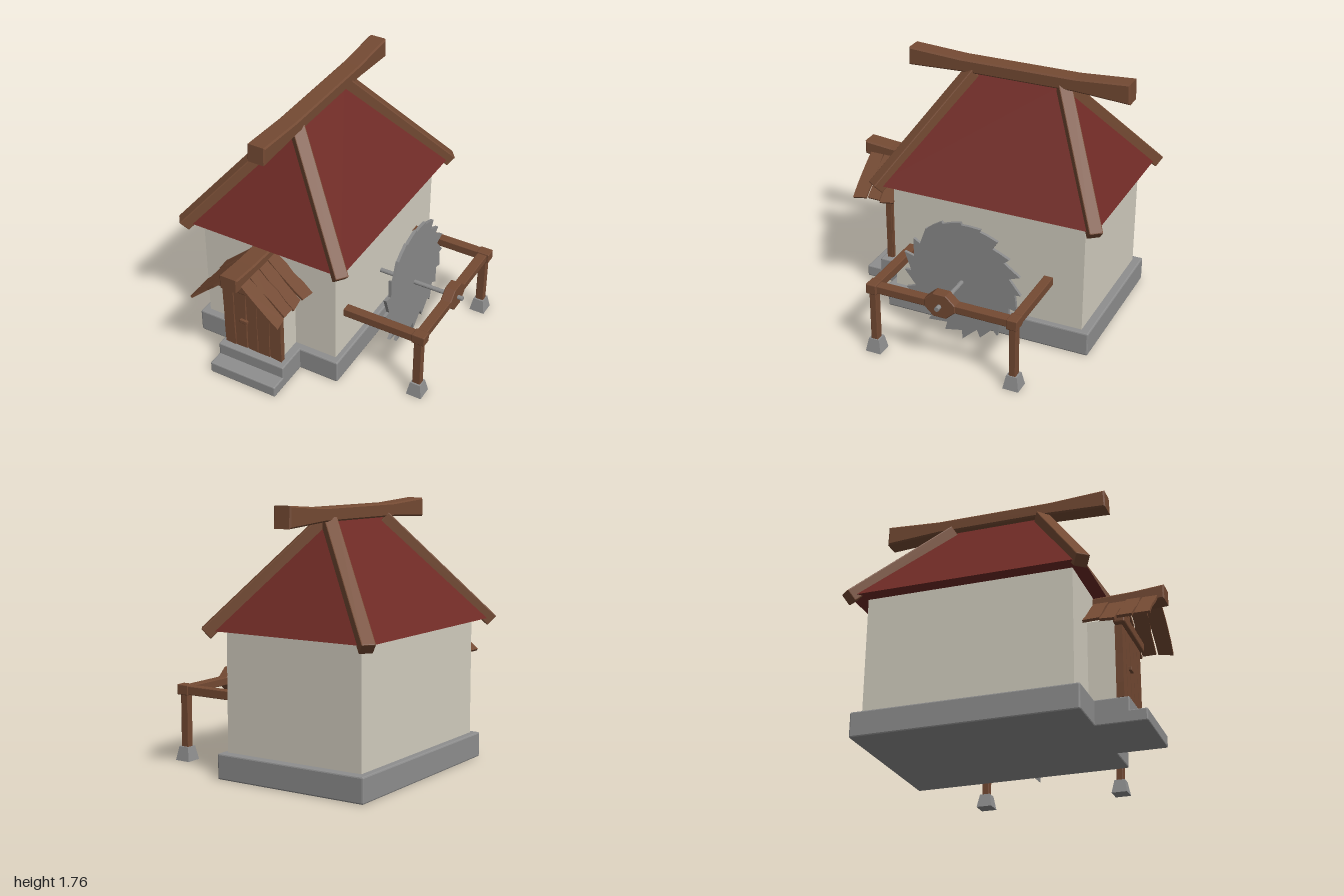
import * as THREE from 'three';
import { RoundedBoxGeometry } from 'three/addons/geometries/RoundedBoxGeometry.js';

const mat = (color) => new THREE.MeshStandardMaterial({ color, flatShading: true, side: THREE.DoubleSide });

export function createModel() {
  const model = new THREE.Group();
  const wood = mat(0x744a33), roofRed = mat(0x6e2a25), plaster = mat(0xd2cdbf);
  const stone = mat(0x8e8e8e), steel = mat(0x8a8a8a);
  const CX = -0.25; // centre line of the house

  let seed = 7;
  const rand = () => (seed = (seed * 16807) % 2147483647) / 2147483647;
  const wobble = (a) => (rand() - 0.5) * 2 * a;

  const add = (name, geo, material, x = 0, y = 0, z = 0) => {
    const m = new THREE.Mesh(geo, material);
    m.name = name;
    m.position.set(x, y, z);
    model.add(m);
    return m;
  };
  // Box given by its limits, with a small chamfer when r > 0
  const block = (name, material, x0, x1, y0, y1, z0, z1, r = 0) => {
    const s = [x1 - x0, y1 - y0, z1 - z0];
    const geo = r ? new RoundedBoxGeometry(...s, 1, r) : new THREE.BoxGeometry(...s);
    return add(name, geo, material, (x0 + x1) / 2, (y0 + y1) / 2, (z0 + z1) / 2);
  };
  const polygon = (pts) => new THREE.Shape(pts.map((p) => new THREE.Vector2(...p)));
  // Outline drawn as (-z, y), extruded along +x
  const sideExtrude = (pts, depth, bevel = 0) => {
    const geo = new THREE.ExtrudeGeometry(polygon(pts), {
      depth: depth - 2 * bevel, bevelEnabled: bevel > 0, bevelSize: bevel,
      bevelThickness: bevel, bevelOffset: -bevel, bevelSegments: 1,
    });
    return geo.translate(0, 0, -(depth - 2 * bevel) / 2).rotateY(Math.PI / 2);
  };
  // Rough plank with uneven edges, centred
  const plank = (w, h, t, rough) => {
    const pts = [], n = 5;
    for (let i = 0; i <= n; i++) pts.push([w / 2 + wobble(rough), -h / 2 + (h * i) / n]);
    for (let i = n; i >= 0; i--) pts.push([-w / 2 + wobble(rough), -h / 2 + (h * i) / n]);
    pts[0][1] += wobble(rough * 2);
    pts[pts.length - 1][1] += wobble(rough * 2);
    return new THREE.ExtrudeGeometry(polygon(pts), { depth: t, bevelEnabled: false }).translate(0, 0, -t / 2);
  };

  // Foundation and steps
  block('foundation', stone, -0.8, 0.3, 0, 0.17, -0.91, 0.58, 0.01);
  block('upperStep', stone, -0.5, 0.01, 0, 0.17, 0.5, 0.8, 0.008);
  block('lowerStep', stone, -0.5, 0.01, 0, 0.082, 0.5, 0.91, 0.008);

  // Walls
  block('walls', plaster, -0.75, 0.26, 0.16, 0.975, -0.85, 0.53);
  const porch = [[-0.2, 0.16], [0.2, 0.16], [0.2, 0.72], [0, 0.91], [-0.2, 0.72]];
  add('porchWalls', new THREE.ExtrudeGeometry(polygon(porch), { depth: 0.22, bevelEnabled: false }),
    plaster, CX, 0, 0.5);

  // Hipped roof
  const ridgeY = 1.66, eaveY = 0.962, ridgeFront = 0.17, ridgeBack = -0.48;
  const roof = new THREE.BufferGeometry();
  roof.setAttribute('position', new THREE.Float32BufferAttribute([
    -0.85, eaveY, 0.62, 0.35, eaveY, 0.62, 0.35, eaveY, -0.945, -0.85, eaveY, -0.945,
    CX, ridgeY, ridgeFront, CX, ridgeY, ridgeBack], 3));
  roof.setIndex([0, 1, 4, 1, 2, 5, 1, 5, 4, 2, 3, 5, 3, 0, 4, 3, 4, 5, 0, 2, 1, 0, 3, 2]);
  const roofFlat = roof.toNonIndexed();
  roofFlat.computeVertexNormals();
  add('roof', roofFlat, roofRed);

  // Hip beams along the four roof corners
  for (const s of [-1, 1]) {
    for (const [zLow, zTop, name] of [[0.62, ridgeFront, 'frontHipBeam'], [-0.945, ridgeBack, 'backHipBeam']]) {
      const a = new THREE.Vector3(CX + s * 0.6, 0.945, zLow);
      const b = new THREE.Vector3(CX + s * 0.02, 1.645, zTop);
      const mid = a.clone().lerp(b, 0.5);
      const beam = add(name, new RoundedBoxGeometry(0.09, 0.085, a.distanceTo(b), 1, 0.006), wood, ...mid);
      beam.lookAt(b);
    }
  }

  // Ridge beam with upswept ends
  add('ridgeBeam', sideExtrude([
    [-0.63, 1.63], [-0.24, 1.645], [0.57, 1.645], [0.95, 1.62],
    [0.945, 1.76], [0.57, 1.735], [-0.24, 1.735], [-0.625, 1.757]], 0.13, 0.01), wood, CX + 0.005);

  // Porch ridge beam
  add('porchRidgeBeam', sideExtrude([
    [-1, 0.885], [-0.8, 0.875], [-0.48, 0.865], [-0.48, 0.955], [-0.8, 0.967], [-1, 0.985]], 0.133, 0.01),
    wood, CX + 0.003);

  // Porch roof planks, four on each slope
  for (const s of [-1, 1]) {
    const up = new THREE.Vector3(-s * 0.31, 0.275, 0).normalize();
    const normal = new THREE.Vector3(s * 0.275, 0.31, 0).normalize();
    const basis = new THREE.Matrix4().makeBasis(up.clone().cross(normal), up, normal);
    for (let i = 0; i < 4; i++) {
      const m = add('porchRoofPlank', plank(0.1, 0.415 + wobble(0.012), 0.018, 0.006), wood,
        CX + s * 0.168, 0.805 + wobble(0.006), 0.908 - i * 0.107);
      m.quaternion.setFromRotationMatrix(basis);
      m.rotateZ(wobble(0.025));
    }
  }

  // Gable planks above the door
  for (let i = -3; i <= 3; i++) {
    const h = 0.19 - Math.abs(i) * 0.045;
    add('gablePlank', plank(0.047, h, 0.02, 0.003), wood, CX + i * 0.056, 0.71 + h / 2, 0.728);
  }

  // Door, lintel and handle
  const edges = [-0.47, -0.385, -0.29, -0.208, -0.112, -0.022];
  for (let i = 0; i < 5; i++) {
    add('doorPlank', plank(edges[i + 1] - edges[i] - 0.006, 0.485 + wobble(0.006), 0.04, 0.003), wood,
      (edges[i] + edges[i + 1]) / 2, 0.425, 0.74);
  }
  block('doorBacking', wood, -0.46, -0.03, 0.18, 0.67, 0.71, 0.73);
  block('doorLintel', wood, -0.5, 0.003, 0.67, 0.738, 0.71, 0.785, 0.01);
  block('doorHandle', wood, -0.335, -0.275, 0.41, 0.437, 0.75, 0.778, 0.004);

  // Toothed wheel: radius grows clockwise and drops at each tooth
  const teeth = 20, rim = [];
  for (let i = 0; i < teeth; i++) {
    const step = (Math.PI * 2) / teeth, a0 = Math.PI / 2 - i * step;
    const worn = i < 2 || i > 17;
    const root = worn ? 0.425 : 0.365 + wobble(0.015);
    const tip = worn ? 0.442 : 0.425 + wobble(0.014);
    for (const [t, r] of [[0, root], [0.4, root + (tip - root) * 0.3], [0.97, tip]]) {
      rim.push([Math.cos(a0 - t * step) * r, Math.sin(a0 - t * step) * r]);
    }
  }
  const axisY = 0.483, axisZ = -0.1;
  add('toothedWheel', sideExtrude(rim.reverse(), 0.022), steel, 0.51, axisY, axisZ);
  add('axle', new THREE.CylinderGeometry(0.016, 0.016, 0.65, 12).rotateZ(Math.PI / 2), steel, 0.56, axisY, axisZ);

  // Wheel frame
  for (const z of [0.39, -0.605]) {
    block('sideBeam', wood, 0.24, 0.8, 0.455, 0.515, z - 0.032, z + 0.032, 0.005);
    block('frameJoint', wood, 0.765, 0.858, 0.45, 0.521, z - 0.037, z + 0.037, 0.006);
    block('framePost', wood, 0.778, 0.837, 0.07, 0.46, z - 0.024, z + 0.024, 0.005);
    add('postFoot', new THREE.CylinderGeometry(0.053, 0.078, 0.095, 4).rotateY(Math.PI / 4), stone, 0.807, 0.0475, z);
  }
  block('crossBeam', wood, 0.772, 0.842, 0.457, 0.511, -0.6, 0.385, 0.005);
  add('axleBearing', sideExtrude([
    [-0.11, -0.025], [-0.045, -0.085], [0.045, -0.085], [0.11, -0.025],
    [0.11, 0.025], [0.045, 0.085], [-0.045, 0.085], [-0.11, 0.025]], 0.076, 0.005), wood, 0.808, axisY + 0.003, axisZ);

  return model;
}
